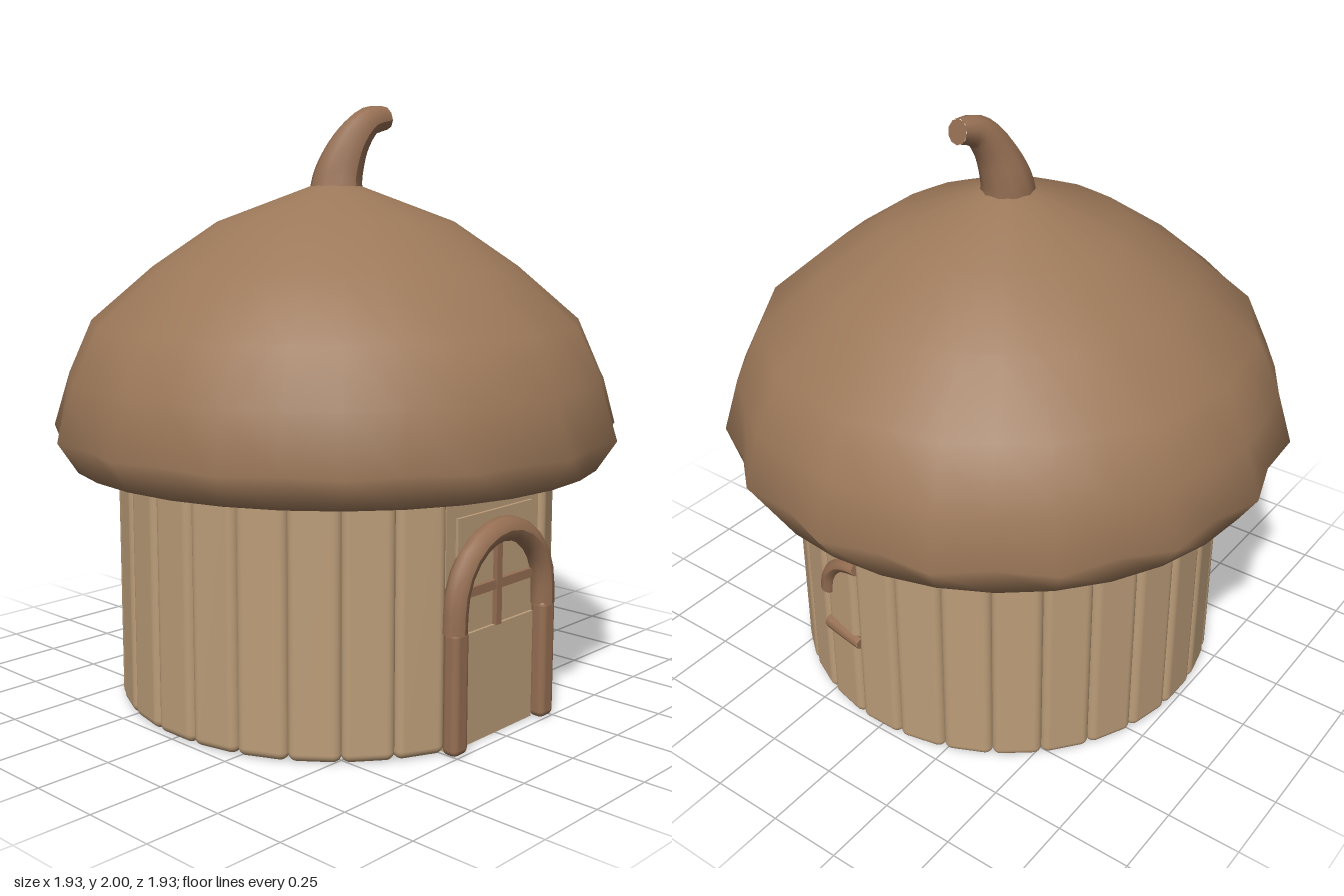
import * as THREE from 'three';
import { mergeVertices } from 'three/addons/utils/BufferGeometryUtils.js';
import { RoundedBoxGeometry } from 'three/addons/geometries/RoundedBoxGeometry.js';

const capBrown = new THREE.MeshStandardMaterial({ name: 'capBrown', color: 0x9c7859 });
const woodBrown = new THREE.MeshStandardMaterial({ name: 'woodBrown', color: 0x966f53 });
const plankTan = new THREE.MeshStandardMaterial({ name: 'plankTan', color: 0xbc9d79 });

const V = (x, y, z) => new THREE.Vector3(x, y, z);

function add(parent, name, geometry, material, x = 0, y = 0, z = 0) {
  const mesh = new THREE.Mesh(geometry, material);
  mesh.name = name;
  mesh.position.set(x, y, z);
  parent.add(mesh);
  return mesh;
}

// Smooth tube whose radius follows a list of values; both ends are closed
function taperedTube(points, radii, sides = 10, steps = 14) {
  const curve = new THREE.CatmullRomCurve3(points);
  const geo = new THREE.TubeGeometry(curve, steps, 1, sides);
  const pos = geo.attributes.position;
  const v = new THREE.Vector3();
  for (let i = 0; i <= steps; i++) {
    const centre = curve.getPointAt(i / steps);
    const f = (i / steps) * (radii.length - 1);
    const a = Math.min(Math.floor(f), radii.length - 2);
    const r = THREE.MathUtils.lerp(radii[a], radii[a + 1], f - a);
    for (let j = 0; j <= sides; j++) {
      const k = i * (sides + 1) + j;
      v.fromBufferAttribute(pos, k).sub(centre).multiplyScalar(r).add(centre);
      pos.setXYZ(k, v.x, v.y, v.z);
    }
  }
  geo.computeVertexNormals();
  return { geo, curve, endRadii: [radii[0], radii[radii.length - 1]] };
}

function addTube(parent, name, points, radii, material, sides) {
  const { geo, curve, endRadii } = taperedTube(points, radii, sides);
  add(parent, name, geo, material);
  [0, 1].forEach((t) => {
    const p = curve.getPointAt(t);
    const dir = curve.getTangentAt(t).multiplyScalar(t ? 1 : -1);
    const end = add(parent, name + 'End', new THREE.CircleGeometry(endRadii[t], sides), material, p.x, p.y, p.z);
    end.quaternion.setFromUnitVectors(V(0, 0, 1), dir);
  });
}

// Domed roof with a scalloped rim: every second column is drawn inwards
function roofGeometry() {
  const profile = [
    [0.64, 0.825, 1], [0.9, 0.82, 1], [0.965, 0.92, 0.957], [0.91, 1.1, 0.99],
    [0.83, 1.28, 0.975], [0.62, 1.46, 0.985], [0.4, 1.61, 0.985], [0.08, 1.73, 1], [0, 1.735, 1],
  ];
  let geo = new THREE.LatheGeometry(profile.map(([r, y]) => new THREE.Vector2(r, y)), 32);
  const pos = geo.attributes.position;
  for (let k = 0; k < pos.count; k++) {
    const column = Math.floor(k / profile.length);
    const s = column % 2 ? profile[k % profile.length][2] : 1;
    pos.setXYZ(k, pos.getX(k) * s, pos.getY(k), pos.getZ(k) * s);
  }
  geo.deleteAttribute('uv');
  geo.deleteAttribute('normal');
  geo = mergeVertices(geo, 1e-4);
  geo.computeVertexNormals();
  return geo;
}

export function createModel() {
  const house = new THREE.Group();
  house.name = 'acornHouse';

  // Roof and bent stem
  add(house, 'roof', roofGeometry(), capBrown);
  addTube(house, 'stem',
    [V(0, 1.7, 0), V(0.01, 1.76, 0), V(0.05, 1.87, 0.02), V(0.11, 1.94, 0.04), V(0.19, 1.958, 0.05)],
    [0.092, 0.08, 0.065, 0.052, 0.04], woodBrown, 10);

  // Inner drum with closed floor
  add(house, 'innerDrum', new THREE.CylinderGeometry(0.66, 0.66, 0.84, 40), capBrown, 0, 0.425, 0);

  // Ring of planks, leaving three places free for the door
  const walls = new THREE.Group();
  walls.name = 'walls';
  house.add(walls);
  const count = 28;
  const plank = new RoundedBoxGeometry(0.164, 0.86, 0.085, 4, 0.028);
  for (let i = 2; i <= count - 2; i++) {
    const a = (i / count) * Math.PI * 2;
    const mesh = add(walls, 'plank', plank, plankTan, Math.sin(a) * 0.6985, 0.43, Math.cos(a) * 0.6985);
    mesh.rotation.y = a;
  }

  // Door: backing wall, lower panel and upper panel
  const door = new THREE.Group();
  door.name = 'door';
  house.add(door);
  add(door, 'backWall', new THREE.BoxGeometry(0.47, 0.85, 0.06), plankTan, 0, 0.425, 0.655);
  add(door, 'lowerPanel', new THREE.BoxGeometry(0.38, 0.36, 0.04), plankTan, 0, 0.181, 0.685);
  add(door, 'upperPanel', new THREE.BoxGeometry(0.38, 0.37, 0.04), plankTan, 0, 0.545, 0.675);

  // Window bars
  add(door, 'uprightBar', new THREE.BoxGeometry(0.026, 0.28, 0.02), woodBrown, 0, 0.5, 0.702);
  add(door, 'crossBar', new THREE.BoxGeometry(0.36, 0.03, 0.02), woodBrown, 0, 0.492, 0.699);

  // Door frame: two posts and an arch
  for (const side of [-1, 1]) {
    add(door, 'post', new RoundedBoxGeometry(0.072, 0.4, 0.06, 3, 0.022), woodBrown, side * 0.225, 0.2, 0.72);
  }
  const arch = [V(-0.227, 0.385, 0.715)];
  for (let i = 0; i <= 8; i++) {
    const a = Math.PI * (1 - i / 8);
    arch.push(V(Math.cos(a) * 0.225, 0.445 + Math.sin(a) * 0.225, 0.715));
  }
  arch.push(V(0.227, 0.385, 0.715));
  addTube(door, 'arch', arch, [0.04, 0.04], woodBrown, 10);

  // Half-sunken side window: curved brow and sill
  const sideWindow = new THREE.Group();
  sideWindow.name = 'sideWindow';
  house.add(sideWindow);
  addTube(sideWindow, 'brow',
    [V(0.702, 0.47, 0.232), V(0.708, 0.54, 0.215), V(0.718, 0.6, 0.165), V(0.73, 0.628, 0.11), V(0.735, 0.635, 0.07)],
    [0.028, 0.026, 0.024, 0.022], woodBrown, 8);
  addTube(sideWindow, 'sill',
    [V(0.703, 0.33, 0.23), V(0.719, 0.328, 0.15), V(0.735, 0.325, 0.07)],
    [0.028, 0.025, 0.02], woodBrown, 8);

  return house;
}
